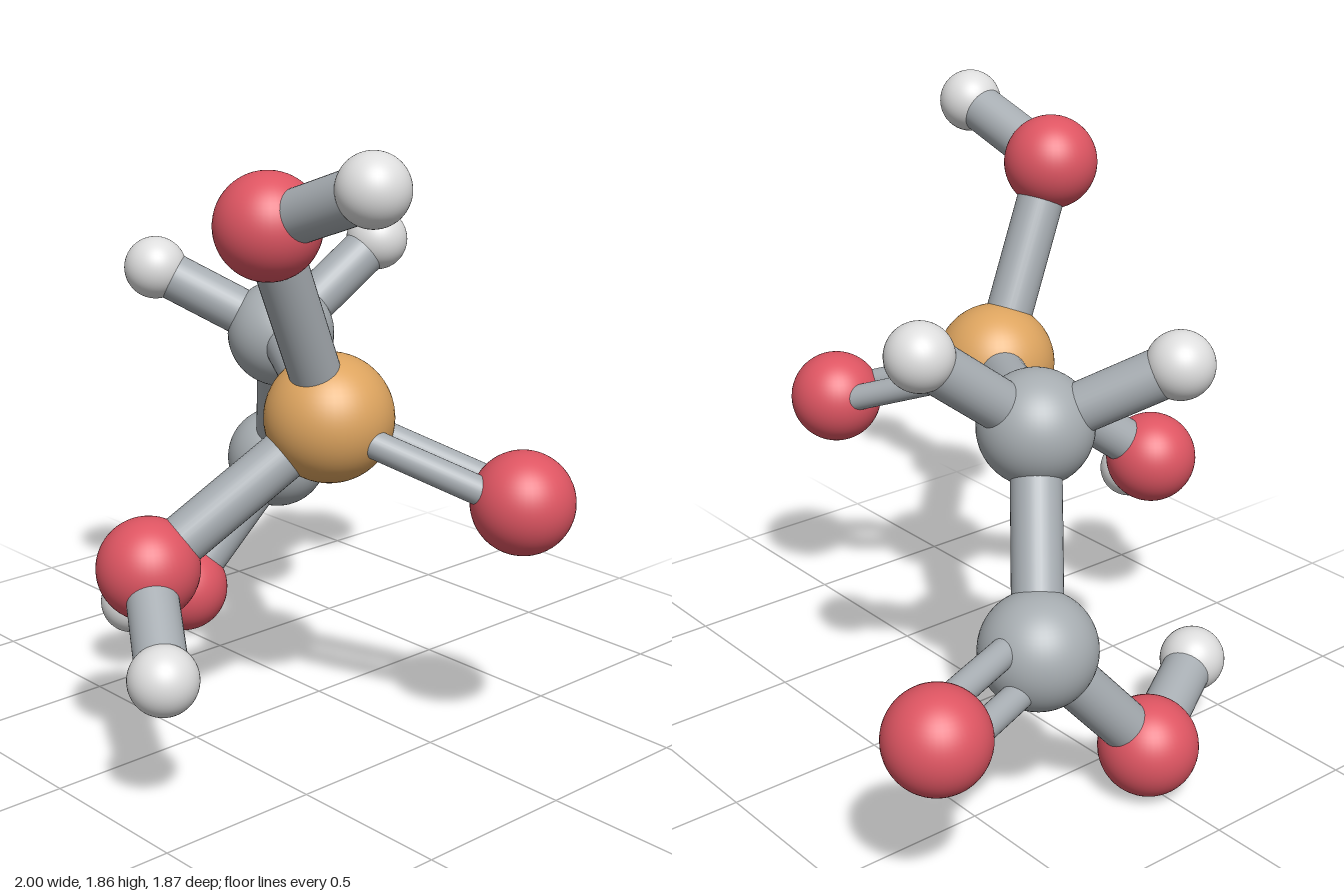
import * as THREE from 'three';

const makeMaterial = (name, color) => {
  const m = new THREE.MeshStandardMaterial({ color });
  m.name = name;
  return m;
};

export function createModel() {
  const model = new THREE.Group();
  model.name = 'molecule';

  // Radius and colour of each kind of atom
  const kinds = {
    phosphorus: { radius: 0.19, material: makeMaterial('orange', 0xdda45f) },
    carbon: { radius: 0.172, material: makeMaterial('grey', 0xa7adb1) },
    oxygen: { radius: 0.15, material: makeMaterial('red', 0xde5562) },
    hydrogen: { radius: 0.1, material: makeMaterial('white', 0xdedede) },
  };
  const bondMaterial = makeMaterial('bondGrey', 0xa7adb2);

  const addAtom = (name, kind, x, y, z) => {
    const { radius, material } = kinds[kind];
    const mesh = new THREE.Mesh(new THREE.SphereGeometry(radius, 48, 32), material);
    mesh.name = name;
    mesh.position.set(x, y, z);
    model.add(mesh);
    return mesh.position;
  };

  // Atoms
  const centre = addAtom('phosphorusAtom', 'phosphorus', -0.216, 1.02, 0.283);
  const topOxygen = addAtom('topOxygen', 'oxygen', -0.5, 1.62, 0.35);
  const topHydrogen = addAtom('topHydrogen', 'hydrogen', -0.467, 1.76, 0.722);
  const sideOxygen = addAtom('sideOxygen', 'oxygen', -0.717, 0.624, 0.07);
  const sideHydrogen = addAtom('sideHydrogen', 'hydrogen', -0.9, 0.432, 0.37);
  const frontOxygen = addAtom('frontOxygen', 'oxygen', 0.067, 0.822, 0.782);
  const middleCarbon = addAtom('middleCarbon', 'carbon', 0.157, 1.094, -0.357);
  const leftHydrogen = addAtom('leftHydrogen', 'hydrogen', 0.51, 1.367, -0.282);
  const backHydrogen = addAtom('backHydrogen', 'hydrogen', -0.12, 1.302, -0.652);
  const lowCarbon = addAtom('lowCarbon', 'carbon', 0.376, 0.566, -0.632);
  const leftOxygen = addAtom('leftOxygen', 'oxygen', 0.848, 0.532, -0.783);
  const lowOxygen = addAtom('lowOxygen', 'oxygen', 0.013, 0.154, -0.71);
  const lowHydrogen = addAtom('lowHydrogen', 'hydrogen', -0.338, 0.245, -0.533);

  const up = new THREE.Vector3(0, 1, 0);
  const addBond = (name, a, b, radius = 0.075, offset = new THREE.Vector3()) => {
    const span = b.clone().sub(a);
    const mesh = new THREE.Mesh(
      new THREE.CylinderGeometry(radius, radius, span.length(), 32), bondMaterial);
    mesh.name = name;
    mesh.position.copy(a).add(b).multiplyScalar(0.5).add(offset);
    mesh.quaternion.setFromUnitVectors(up, span.normalize());
    model.add(mesh);
  };

  // Two thin rods, spread apart in the plane shared with a neighbouring atom
  const addDoubleBond = (name, a, b, neighbour) => {
    const axis = b.clone().sub(a).normalize();
    const spread = neighbour.clone().sub(a).projectOnPlane(axis).normalize();
    for (const side of [-1, 1]) {
      addBond(name, a, b, 0.042, spread.clone().multiplyScalar(side * 0.064));
    }
  };

  // Single bonds
  const pairs = [
    [centre, topOxygen], [topOxygen, topHydrogen],
    [centre, sideOxygen], [sideOxygen, sideHydrogen],
    [centre, middleCarbon], [middleCarbon, leftHydrogen],
    [middleCarbon, backHydrogen], [middleCarbon, lowCarbon],
    [lowCarbon, lowOxygen], [lowOxygen, lowHydrogen],
  ];
  for (const [a, b] of pairs) addBond('singleBond', a, b);

  // Double bonds
  addDoubleBond('frontDoubleBond', centre, frontOxygen, middleCarbon);
  addDoubleBond('leftDoubleBond', lowCarbon, leftOxygen, middleCarbon);

  return model;
}
